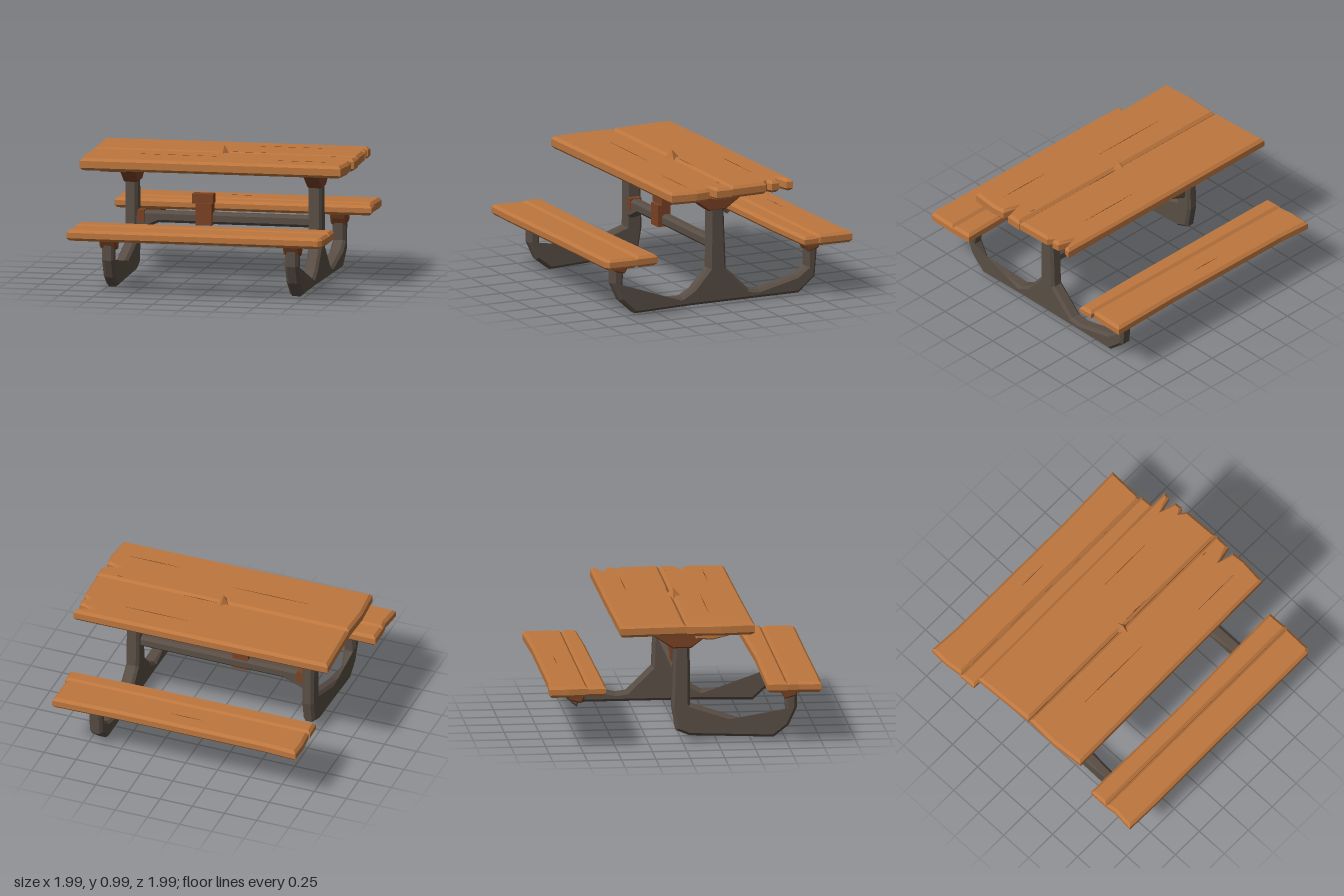
import * as THREE from 'three';

const wood = new THREE.MeshStandardMaterial({ color: 0xbd763e });
wood.name = 'weathered wood';
const metal = new THREE.MeshStandardMaterial({ color: 0x594e45 });
metal.name = 'dark metal';
const rust = new THREE.MeshStandardMaterial({ color: 0x7a4224 });
rust.name = 'rust';
const crackDark = new THREE.MeshStandardMaterial({ color: 0x6e4223 });
crackDark.name = 'crack brown';

// Bevelled slab whose outline stays at the given points.
function slab(points, thickness, bevel) {
  const shape = new THREE.Shape(points.map(([u, v]) => new THREE.Vector2(u, v)));
  const geo = new THREE.ExtrudeGeometry(shape, {
    depth: thickness - 2 * bevel, bevelEnabled: bevel > 0, bevelThickness: bevel,
    bevelSize: bevel, bevelOffset: -bevel, bevelSegments: 1,
  });
  return geo.translate(0, 0, -(thickness - 2 * bevel) / 2);
}

export function createModel() {
  const model = new THREE.Group();

  function add(name, geo, mat, x = 0, y = 0, z = 0) {
    const mesh = new THREE.Mesh(geo, mat);
    mesh.name = name;
    mesh.position.set(x, y, z);
    model.add(mesh);
    return mesh;
  }
  // Outline in (x, z), lying flat between two heights.
  const plank = (name, pts, y0, y1, mat = wood, bevel = 0.02) =>
    add(name, slab(pts, y1 - y0, bevel).rotateX(Math.PI / 2), mat, 0, (y0 + y1) / 2);
  // Outline in (z, y), standing upright with a width along x.
  const upright = (name, pts, x, width, mat, bevel = 0.02) =>
    add(name, slab(pts, width, bevel).rotateY(-Math.PI / 2), mat, x);

  // Table top: two broad boards with split ends
  plank('frontTableBoard', [
    [-0.97, 0.003], [0.99, 0], [0.985, 0.12], [0.86, 0.15], [0.975, 0.175],
    [0.985, 0.28], [0.965, 0.475], [0, 0.485], [-0.96, 0.5], [-0.98, 0.25],
  ], 0.84, 0.93);
  plank('backTableBoard', [
    [-1, -0.485], [0, -0.495], [0.97, -0.5], [0.96, -0.45], [0.85, -0.42], [0.965, -0.39],
    [0.97, -0.33], [0.93, -0.31], [0.975, -0.28], [0.985, -0.003], [-0.975, -0.003], [-0.985, -0.2],
  ], 0.845, 0.932);

  // Benches: a wide and a narrow board each
  plank('backBenchOuterBoard', [
    [-0.95, -0.995], [-0.7, -0.98], [0.4, -0.98], [0.94, -0.995], [0.935, -0.74],
    [0.92, -0.712], [-0.94, -0.712], [-0.955, -0.85],
  ], 0.4, 0.483);
  plank('backBenchInnerBoard', [
    [-0.95, -0.71], [0.95, -0.715], [0.955, -0.6], [0.5, -0.585], [-0.85, -0.575], [-0.945, -0.58],
  ], 0.405, 0.48);
  plank('frontBenchInnerBoard', [
    [-0.945, 0.592], [0, 0.6], [0.94, 0.575], [0.945, 0.74], [-0.945, 0.74],
  ], 0.4, 0.483);
  plank('frontBenchOuterBoard', [
    [-0.945, 0.742], [0.945, 0.742], [0.94, 0.96], [0.91, 0.985], [0, 0.985],
    [-0.7, 0.99], [-0.95, 0.985], [-0.935, 0.82],
  ], 0.4, 0.48);

  // Thin cracks in the boards: x, z, length, top height
  [[0.17, -0.025, 0.26, 0.932], [0.82, 0.035, 0.05, 0.93], [0.4, -0.32, 0.5, 0.932],
    [-0.3, 0.2, 0.6, 0.93], [0.65, 0.3, 0.4, 0.93], [-0.05, -0.86, 0.25, 0.483],
  ].forEach(([x, z, len, y]) => plank('boardCrack',
    [[x - len / 2, z], [x, z - 0.003], [x + len / 2, z], [x, z + 0.003]], y - 0.003, y + 0.001, crackDark, 0));

  // Splinter standing up at the centre of the table
  const splinter = add('centreSplinter', new THREE.ConeGeometry(1, 0.075, 4).toNonIndexed(), wood, 0, 0.95, 0);
  splinter.geometry.computeVertexNormals();
  splinter.scale.set(0.04, 1, 0.075);

  // Whole leg: post, spread foot and an arm to each bench
  upright('leftLegFrame', [
    [0.05, 0.75], [0.055, 0.27], [0.18, 0.13], [0.27, 0.08], [0.69, 0.09], [0.75, 0.2], [0.735, 0.4],
    [0.83, 0.4], [0.83, 0.24], [0.77, 0.11], [0.65, 0], [0.2, 0.01], [-0.3, 0.01], [-0.67, 0.01],
    [-0.8, 0.12], [-0.82, 0.34], [-0.82, 0.4], [-0.73, 0.4], [-0.735, 0.2], [-0.65, 0.14],
    [-0.35, 0.07], [-0.27, 0.08], [-0.085, 0.26], [-0.065, 0.75],
  ], 0.68, 0.1, metal);

  // Broken leg: only the front arm is left
  upright('rightLegFrame', [
    [0.05, 0.75], [0.055, 0.28], [0.45, 0.15], [0.69, 0.1], [0.75, 0.2], [0.735, 0.4],
    [0.83, 0.4], [0.83, 0.24], [0.77, 0.11], [0.66, 0.025], [0.3, 0.04], [0.05, 0.05],
    [-0.05, 0.09], [-0.08, 0.26], [-0.065, 0.75],
  ], -0.68, 0.09, metal);

  // Rusty brackets below the table top and the benches
  for (const x of [-0.68, 0.68]) {
    upright('tableBracket', [
      [0.26, 0.85], [0.06, 0.7], [-0.075, 0.7], [-0.3, 0.85],
    ], x, 0.11, rust, 0.01);
    for (const s of [-1, 1]) {
      upright('benchBracket', [
        [s * 0.69, 0.41], [s * 0.71, 0.36], [s * 0.74, 0.31], [s * 0.82, 0.33], [s * 0.86, 0.41],
      ], x, 0.12, rust, 0.01);
    }
  }
  upright('brokenArmStub', [[-0.74, 0.35], [-0.77, 0.28], [-0.81, 0.31], [-0.82, 0.35]], -0.68, 0.07, metal, 0.01);

  // Sagging splintered wood under the right end of the table
  upright('saggingBoard', [[0.44, 0.85], [0.2, 0.79], [0.08, 0.8], [0.08, 0.85]], -0.78, 0.2, wood, 0.01);

  // Stretcher between the posts, thicker where it meets the broken leg
  add('stretcher', slab([
    [-0.66, 0.49], [0.66, 0.49], [0.66, 0.405], [-0.48, 0.405], [-0.66, 0.33],
  ], 0.08, 0.02), metal, 0, 0, 0);
  add('stretcherCollar', new THREE.BoxGeometry(0.05, 0.09, 0.09), rust, -0.61, 0.45, 0);

  // Rusty fitting on the stretcher
  add('fittingBase', new THREE.BoxGeometry(0.12, 0.16, 0.1), rust, -0.14, 0.48, 0.02);
  add('fittingHead', new THREE.BoxGeometry(0.155, 0.07, 0.08), rust, -0.155, 0.59, 0);

  return model;
}
